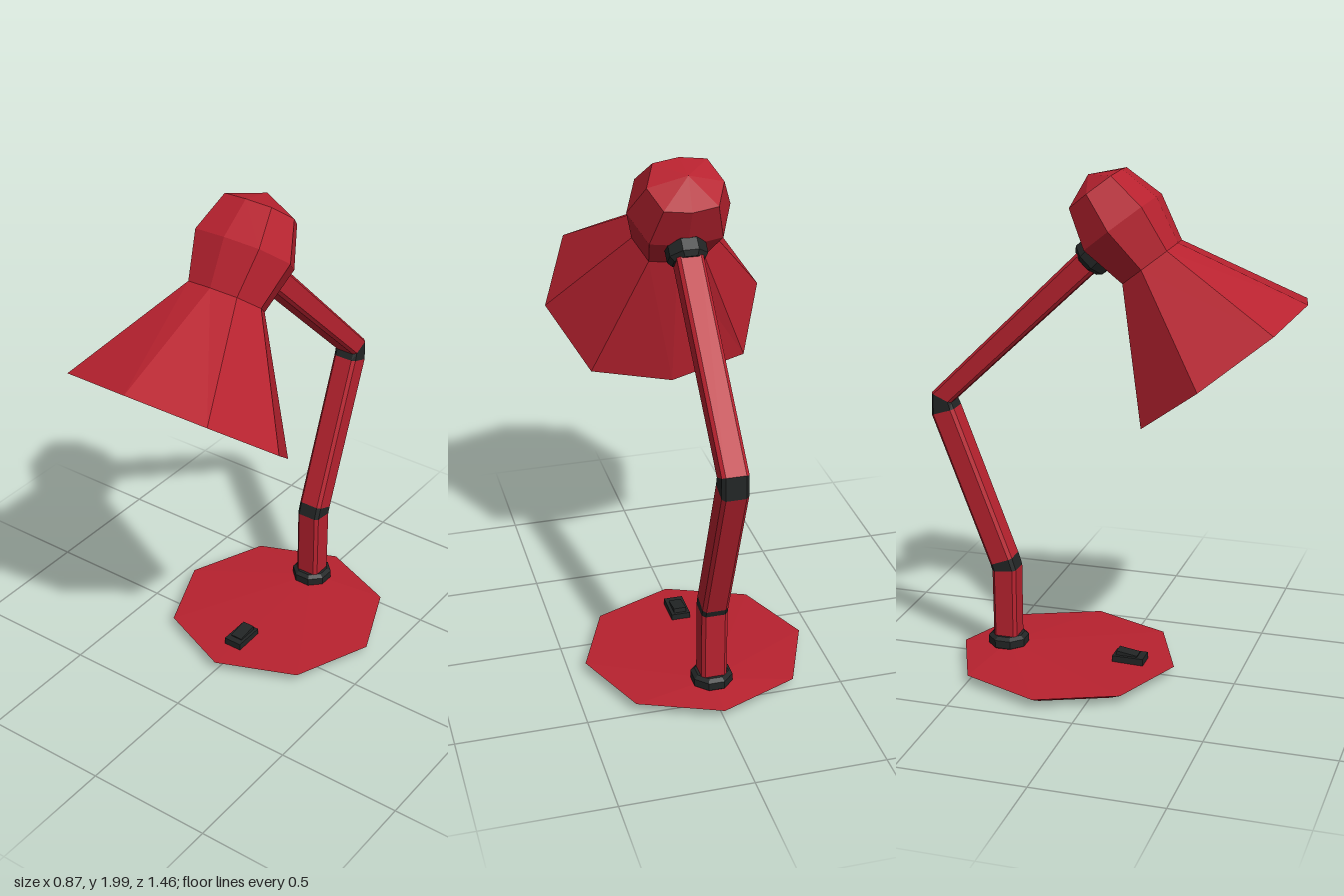
import * as THREE from 'three';

const red = new THREE.MeshStandardMaterial({ color: 0xb8222f });
red.name = 'red enamel';
const black = new THREE.MeshStandardMaterial({ color: 0x222525 });
black.name = 'black plastic';
const grey = new THREE.MeshStandardMaterial({ color: 0x777777 });
grey.name = 'grey bulb';

// Give every facet its own flat normal
function faceted(geometry) {
  const flat = geometry.index ? geometry.toNonIndexed() : geometry;
  flat.computeVertexNormals();
  return flat;
}

function part(name, geometry, material, parent) {
  const mesh = new THREE.Mesh(faceted(geometry), material);
  mesh.name = name;
  parent.add(mesh);
  return mesh;
}

// Eight-sided turned shape; profile is [radius, height] pairs
function turned(profile) {
  return new THREE.LatheGeometry(profile.map(([r, y]) => new THREE.Vector2(r, y)), 8);
}

// Move the vertices of a geometry by a rule
function reshape(geometry, rule) {
  const pos = geometry.attributes.position;
  const v = new THREE.Vector3();
  for (let i = 0; i < pos.count; i++) {
    v.fromBufferAttribute(pos, i);
    rule(v);
    pos.setXYZ(i, v.x, v.y, v.z);
  }
  return geometry;
}

// Chamfered square tube between two mitred cuts, each cut being [front [z, y], back [z, y]]
const section = [[0.75, 1], [1, 0.75], [1, -0.75], [0.75, -1], [-0.75, -1], [-1, -0.75], [-1, 0.75], [-0.75, 1]];
function tube(cutA, cutB, halfWidth = 0.05) {
  const pts = [];
  for (const [front, back] of [cutA, cutB]) {
    for (const [x, s] of section) {
      const t = (1 - s) / 2;
      pts.push(x * halfWidth, front[1] + (back[1] - front[1]) * t, front[0] + (back[0] - front[0]) * t);
    }
  }
  const index = [];
  for (let i = 0; i < 8; i++) {
    const j = (i + 1) % 8;
    index.push(i, j, 8 + j, i, 8 + j, 8 + i);
  }
  const geometry = new THREE.BufferGeometry();
  geometry.setAttribute('position', new THREE.Float32BufferAttribute(pts, 3));
  geometry.setIndex(index);
  return geometry;
}

function collar(name, parent, y, z, tilt, scale, height) {
  const r = 0.081 * scale;
  const h = height / 2;
  const geometry = turned([[0, -h], [r * 0.8, -h], [r, -h * 0.55], [r, h * 0.55], [r * 0.8, h], [0, h]]);
  geometry.rotateY(Math.PI / 8);
  const mesh = part(name, geometry, black, parent);
  mesh.position.set(0, y, z);
  mesh.rotation.x = tilt;
}

export function createModel() {
  const lamp = new THREE.Group();
  lamp.name = 'deskLamp';

  // Base plate, rising slightly to the post
  const plate = reshape(turned([[0, 0], [0.36, 0], [0.437, 0.04], [0, 0.06]]), (v) => {
    if (v.y > 0.05) v.z -= 0.25;
  });
  part('base', plate, red, lamp).position.z = -0.18;

  // Switch housing and tilted rocker
  const toggle = new THREE.Group();
  toggle.name = 'switch';
  toggle.position.set(0, 0.056, 0.077);
  lamp.add(toggle);
  part('switchHousing', new THREE.BoxGeometry(0.075, 0.03, 0.125), black, toggle);
  const rocker = part('switchRocker', new THREE.BoxGeometry(0.05, 0.025, 0.085), black, toggle);
  rocker.position.set(0, 0.014, -0.008);
  rocker.rotation.x = 0.15;

  // Arm: post, lower arm and upper arm with black joints at the bends
  const cuts = [
    [[-0.382, 0.06], [-0.478, 0.06]],
    [[-0.382, 0.385], [-0.48, 0.375]],
    [[-0.398, 0.435], [-0.488, 0.4]],
    [[-0.625, 1.03], [-0.718, 1.0]],
    [[-0.636, 1.055], [-0.715, 1.09]],
    [[-0.035, 1.625], [-0.1, 1.695]],
  ];
  ['post', 'lowerJoint', 'lowerArm', 'elbow', 'upperArm'].forEach((name, i) => {
    part(name, tube(cuts[i], cuts[i + 1]), i % 2 ? black : red, lamp);
  });
  collar('baseCollar', lamp, 0.075, -0.43, 0, 1, 0.055);
  collar('headCollar', lamp, 1.665, -0.06, Math.PI / 4, 0.95, 0.085);

  // Head: double-walled shade and domed housing, origin at the neck
  const head = new THREE.Group();
  head.name = 'head';
  head.position.set(0, 1.652, 0.158);
  head.rotation.x = -0.67;
  lamp.add(head);
  const shell = turned([
    [0, -0.01], [0.13, -0.01], [0.385, -0.45], [0.43, -0.457],
    [0.15, 0], [0.195, 0.18], [0.143, 0.335], [0, 0.395],
  ]);
  reshape(shell, (v) => {
    if (Math.abs(v.x) < 1e-4) v.z *= Math.abs(v.z) > 0.3 ? 0.885 : 0.82;
  });
  part('shade', shell, red, head);

  // Light bulb
  const bulb = part('bulb', new THREE.SphereGeometry(0.15, 8, 6), grey, head);
  bulb.position.y = -0.125;

  return lamp;
}
